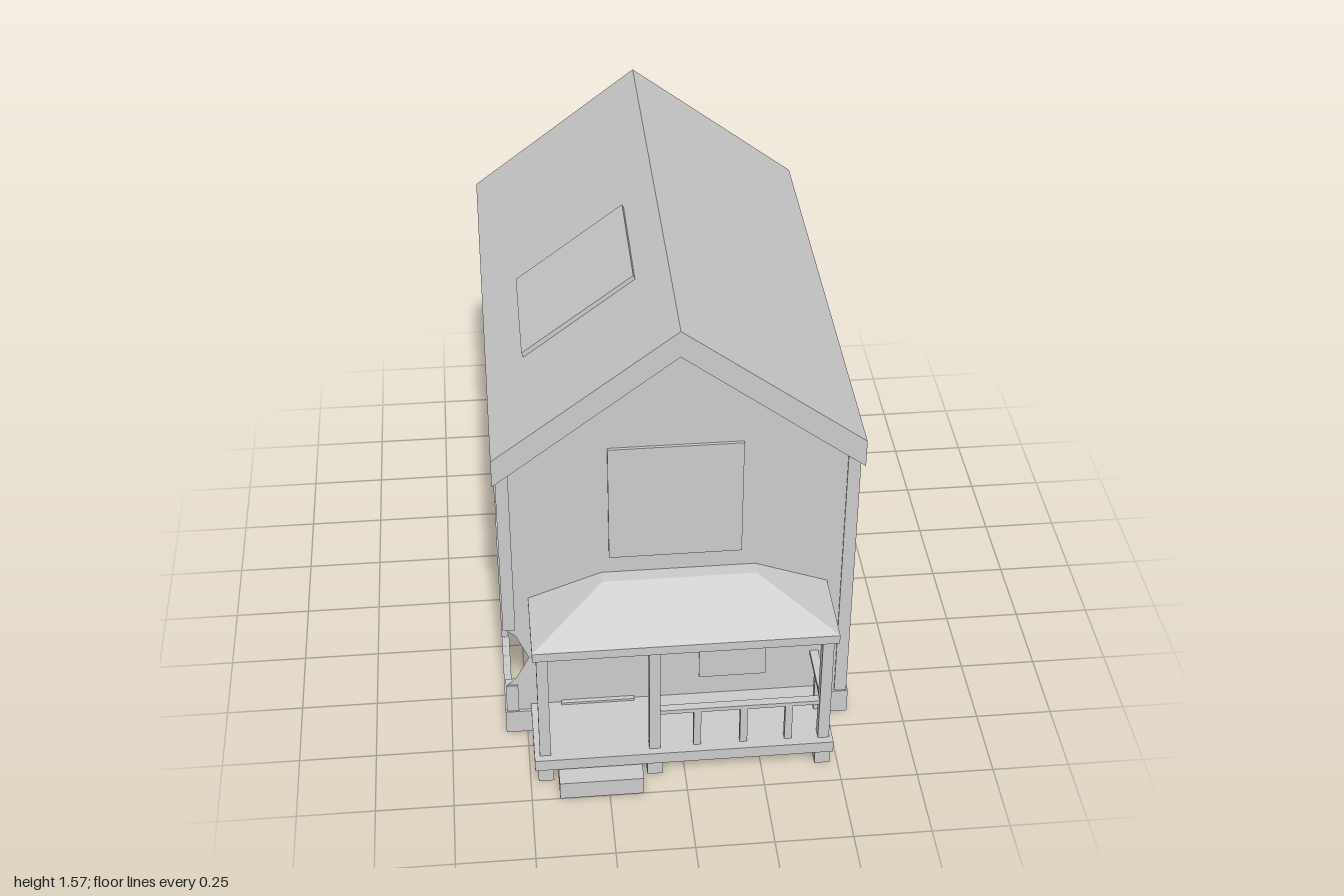
import * as THREE from 'three';

const grey = new THREE.MeshStandardMaterial({ color: 0xcccccc, flatShading: true });
const thin = new THREE.MeshStandardMaterial({ color: 0xcccccc, flatShading: true, side: THREE.DoubleSide });

const polygon = (pts) => new THREE.Shape(pts.map(([x, y]) => new THREE.Vector2(x, y)));

export function createModel() {
  const house = new THREE.Group();
  house.name = 'house';

  const add = (name, geometry, material = grey) => {
    const mesh = new THREE.Mesh(geometry, material);
    mesh.name = name;
    house.add(mesh);
    return mesh;
  };
  // Box given by its limits on each axis
  const box = (name, x0, x1, y0, y1, z0, z1) => {
    const g = new THREE.BoxGeometry(x1 - x0, y1 - y0, z1 - z0);
    g.translate((x0 + x1) / 2, (y0 + y1) / 2, (z0 + z1) / 2);
    return add(name, g);
  };
  // Outline extruded along z
  const slab = (name, pts, z0, z1) => {
    const g = new THREE.ExtrudeGeometry(polygon(pts), { depth: z1 - z0, bevelEnabled: false });
    g.translate(0, 0, z0);
    return add(name, g);
  };

  const W = 0.56, FRONT = 0.67, BACK = -0.97;

  // Hollow walls, with a broken hole at the front corner on the -x side
  const frontWall = new THREE.ShapeGeometry(polygon([
    [-W, 0.05], [W, 0.05], [W, 1.08], [0, 1.5], [-W, 1.08],
    [-W, 0.44], [-0.525, 0.41], [-0.485, 0.315], [-0.53, 0.23], [-W, 0.2],
  ]));
  frontWall.translate(0, 0, FRONT);
  add('frontWall', frontWall, thin);

  const leftShape = polygon([
    [BACK, 0.05], [FRONT, 0.05], [FRONT, 0.2], [0.63, 0.23], [0.61, 0.32],
    [0.64, 0.41], [FRONT, 0.44], [FRONT, 1.1], [BACK, 1.1],
  ]);
  const rightShape = polygon([[BACK, 0.05], [FRONT, 0.05], [FRONT, 1.1], [BACK, 1.1]]);
  for (const [name, shape, x] of [['brokenSideWall', leftShape, -W], ['sideWall', rightShape, W]]) {
    const g = new THREE.ShapeGeometry(shape);
    g.rotateY(-Math.PI / 2); // shape x becomes z
    g.translate(x, 0, 0);
    add(name, g, thin);
  }
  const backWall = new THREE.PlaneGeometry(2 * W, 1.03);
  backWall.rotateY(Math.PI);
  backWall.translate(0, 0.565, BACK);
  add('backWall', backWall, thin);

  // Foundation skirt, open underneath
  const skirt = polygon([[-0.57, -0.68], [0.57, -0.68], [0.57, 0.98], [-0.57, 0.98]]);
  skirt.holes.push(new THREE.Path([[-0.545, -0.655], [-0.545, 0.955], [0.545, 0.955], [0.545, -0.655]]
    .map(([x, y]) => new THREE.Vector2(x, y))));
  const skirtGeo = new THREE.ExtrudeGeometry(skirt, { depth: 0.09, bevelEnabled: false });
  skirtGeo.rotateX(-Math.PI / 2);
  add('foundation', skirtGeo);

  // Corner boards, the broken one in two pieces
  for (const side of [-1, 1]) {
    const [x0, x1] = side < 0 ? [-0.565, -0.525] : [0.525, 0.565];
    box('cornerBoard', x0, x1, 0.09, 1.06, -0.975, -0.935);
    const spans = side < 0 ? [[0.09, 0.2], [0.44, 1.06]] : [[0.09, 1.06]];
    for (const [y0, y1] of spans) box('cornerBoard', x0, x1, y0, y1, 0.64, 0.675);
  }

  // Roof with open front gable and closed back gable
  const E = 0.575;
  slab('roof', [[-E, 1.04], [0, 1.48], [E, 1.04], [E, 1.135], [0, 1.57], [-E, 1.135]], -0.97, 0.7);
  slab('backGable', [[-E, 1.04], [E, 1.04], [E, 1.135], [0, 1.57], [-E, 1.135]], -1, -0.97);
  slab('skylight', [[-0.45, 1.215], [-0.095, 1.483], [-0.105, 1.508], [-0.46, 1.242]], -0.16, 0.28);

  // Side windows: z range, y range
  const windows = [
    [0.27, 0.46, 0.8, 0.99], [-0.81, -0.62, 0.8, 0.99],
    [0.25, 0.47, 0.235, 0.58], [-0.84, -0.62, 0.235, 0.58],
    [-0.375, 0.04, 0.225, 0.65],
  ];
  for (const [z0, z1, y0, y1] of windows) {
    box('sideWindow', 0.55, 0.57, y0, y1, z0, z1);
    box('sideWindow', -0.57, -0.55, y0, y1, z0, z1);
  }
  box('frontWindow', -0.22, 0.2, 0.72, 1.14, 0.66, 0.68);
  box('porchWindow', 0.07, 0.29, 0.19, 0.58, 0.66, 0.678);

  // Porch deck, threshold and step
  box('porchDeck', -0.485, 0.48, 0.07, 0.112, 0.67, 0.94);
  box('threshold', -0.385, -0.145, 0.11, 0.12, 0.67, 0.685);
  box('step', -0.41, -0.14, 0, 0.065, 0.885, 1);

  // Porch posts and their feet
  for (const x of [-0.45, -0.097, 0.45]) {
    box('porchPost', x - 0.018, x + 0.018, 0.11, 0.54, 0.88, 0.916);
    box('porchFoot', x - 0.025, x + 0.025, 0, 0.07, 0.88, 0.916);
  }

  // Railings
  box('frontRail', -0.08, 0.435, 0.255, 0.27, 0.885, 0.912);
  for (const x of [0.04, 0.19, 0.335]) box('baluster', x - 0.012, x + 0.012, 0.11, 0.255, 0.887, 0.91);
  for (const x of [-0.45, 0.45]) {
    box('sideRail', x - 0.014, x + 0.014, 0.255, 0.27, 0.67, 0.885);
    box('baluster', x - 0.012, x + 0.012, 0.11, 0.255, 0.757, 0.781);
  }

  // Porch roof: flat lip with a hipped top, narrowed by moving the upper corners
  box('porchRoofLip', -0.48, 0.48, 0.535, 0.567, 0.67, 0.94);
  const hip = new THREE.BoxGeometry(0.96, 0.088, 0.27);
  hip.translate(0, 0.611, 0.805);
  const p = hip.attributes.position;
  for (let i = 0; i < p.count; i++) {
    if (p.getY(i) < 0.6) continue;
    p.setX(i, Math.sign(p.getX(i)) * 0.245);
    if (p.getZ(i) > 0.8) p.setZ(i, 0.717);
  }
  hip.computeVertexNormals();
  add('porchRoof', hip);

  return house;
}
